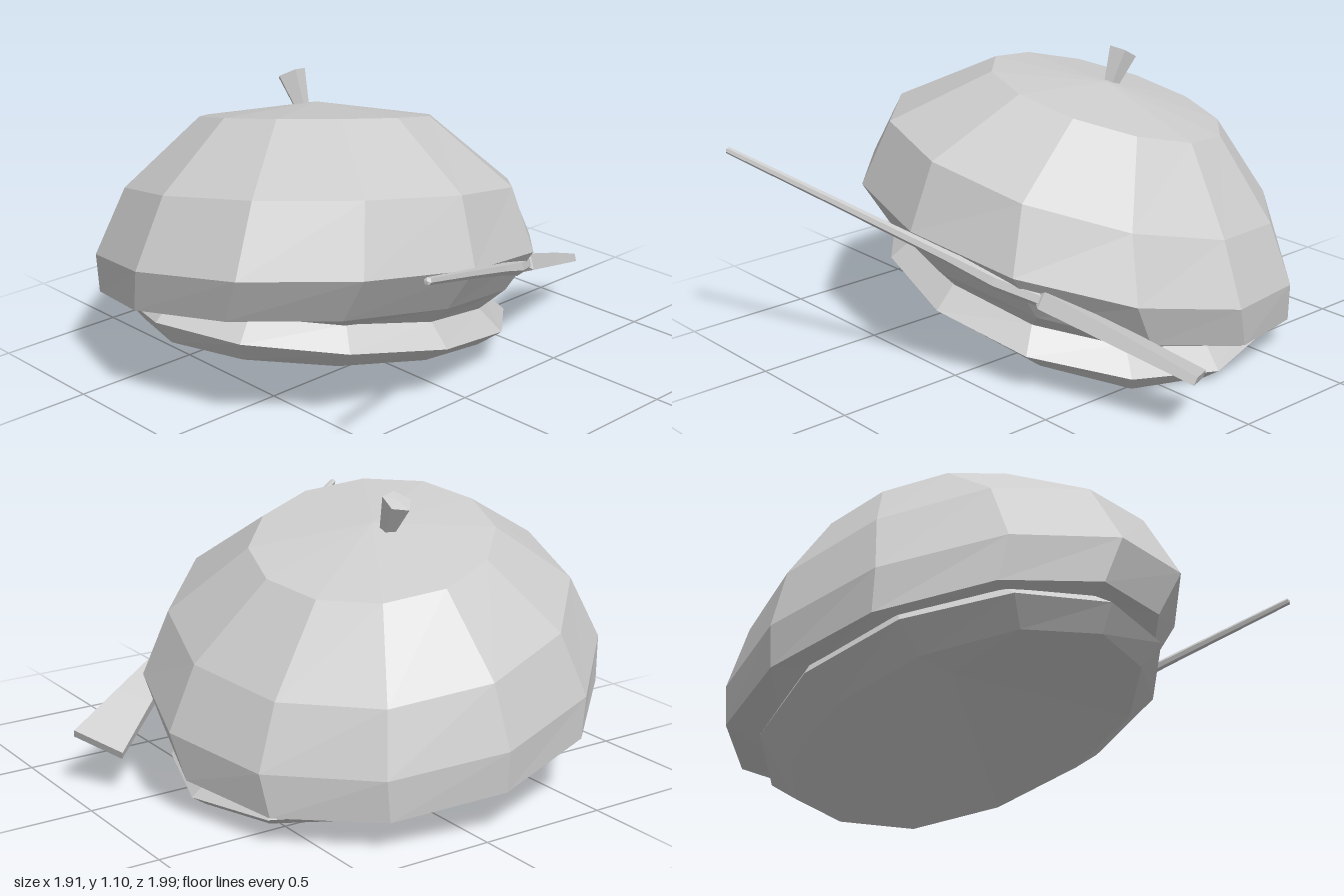
import * as THREE from 'three';

const material = new THREE.MeshStandardMaterial({ color: 0xcccccc, flatShading: true, side: THREE.DoubleSide });

// Skin a list of equal-length point loops; a one-point loop closes to an apex.
function loft(name, loops) {
  const pos = [];
  const tri = (a, b, c) => pos.push(...a, ...b, ...c);
  for (let i = 0; i < loops.length - 1; i++) {
    const lo = loops[i], hi = loops[i + 1];
    const n = Math.max(lo.length, hi.length);
    for (let j = 0; j < n; j++) {
      const k = (j + 1) % n;
      if (hi.length === 1) tri(lo[j], lo[k], hi[0]);
      else if (lo.length === 1) tri(lo[0], hi[k], hi[j]);
      else {
        tri(lo[j], lo[k], hi[k]);
        tri(lo[j], hi[k], hi[j]);
      }
    }
  }
  const geometry = new THREE.BufferGeometry();
  geometry.setAttribute('position', new THREE.Float32BufferAttribute(pos, 3));
  geometry.computeVertexNormals();
  const mesh = new THREE.Mesh(geometry, material);
  mesh.name = name;
  return mesh;
}

// Twelve-sided oval ring on a tilted plane: centre, radii, slope along x and z.
function ring(cx, cy, cz, rx, rz, sx, sz) {
  return Array.from({ length: 12 }, (_, i) => {
    const a = (i / 12) * Math.PI * 2;
    const dx = Math.sin(a) * rx, dz = Math.cos(a) * rz;
    return [cx + dx, Math.max(0, cy + dx * sx + dz * sz), cz + dz];
  });
}

// Loops of n points around path stations [x, y, z, halfWidth, halfThickness].
function sections(stations, wide, thick, n) {
  return stations.map(([x, y, z, w, t]) => Array.from({ length: n }, (_, i) => {
    const a = ((i + 0.5) / n) * Math.PI * 2;
    return new THREE.Vector3(x, y, z)
      .addScaledVector(wide, Math.cos(a) * w)
      .addScaledVector(thick, Math.sin(a) * t).toArray();
  }));
}

export function createModel() {
  const group = new THREE.Group();

  // Puffy crown, from the seam above the band up to the centre
  group.add(loft('crown', [
    ring(-0.10, 0.26, -0.20, 0.68, 0.61, -0.21, 0.07),
    ring(-0.09, 0.27, -0.25, 0.84, 0.74, -0.15, 0.15),
    ring(-0.09, 0.44, -0.19, 0.87, 0.81, -0.15, 0.16),
    ring(-0.07, 0.68, -0.20, 0.75, 0.73, -0.18, 0.19),
    ring(-0.02, 0.92, -0.28, 0.45, 0.44, -0.19, 0.20),
    [[-0.02, 0.975, -0.28]],
  ]));

  // Head band with a hollow underside
  group.add(loft('band', [
    [[-0.10, 0.36, -0.22]],
    ring(-0.10, 0.12, -0.17, 0.73, 0.56, -0.20, 0.05),
    ring(-0.10, 0.20, -0.18, 0.79, 0.68, -0.20, 0.04),
    ring(-0.10, 0.28, -0.20, 0.69, 0.62, -0.21, 0.05),
  ]));

  // Flared stalk on the crown, leaning back
  const stalk = sections([
    [-0.05, 0.93, -0.32, 0.025, 0.025],
    [-0.05, 1.07, -0.39, 0.057, 0.057],
  ], new THREE.Vector3(1, 0, 0), new THREE.Vector3(0, 0.5, 0.866), 5);
  group.add(loft('stalk', [[[-0.05, 0.92, -0.32]], ...stalk, [[-0.05, 1.075, -0.392]]]));

  // Brush: slim tapered handle, thicker collar and flat flaring bristles
  const axis = new THREE.Vector3(0.85, -0.33, -0.45).normalize();
  const wide = new THREE.Vector3(0.54, 0.29, 0.79).normalize();
  const thick = new THREE.Vector3().crossVectors(axis, wide).normalize();
  const handle = sections([
    [-0.70, 0.81, 0.98, 0.013, 0.013],
    [-0.30, 0.66, 0.78, 0.017, 0.017],
    [0.08, 0.515, 0.59, 0.024, 0.022],
    [0.25, 0.45, 0.51, 0.032, 0.030],
    [0.40, 0.40, 0.42, 0.030, 0.028],
  ], wide, thick, 6);
  group.add(loft('brushHandle', [[[-0.705, 0.812, 0.983]], ...handle]));

  const bristles = sections([
    [0.40, 0.40, 0.42, 0.045, 0.045],
    [0.68, 0.28, 0.26, 0.10, 0.035],
    [0.895, 0.185, 0.14, 0.145, 0.022],
  ], wide, thick, 4);
  group.add(loft('brushBristles', [[[0.37, 0.412, 0.44]], ...bristles, [[0.895, 0.185, 0.14]]]));

  return group;
}
